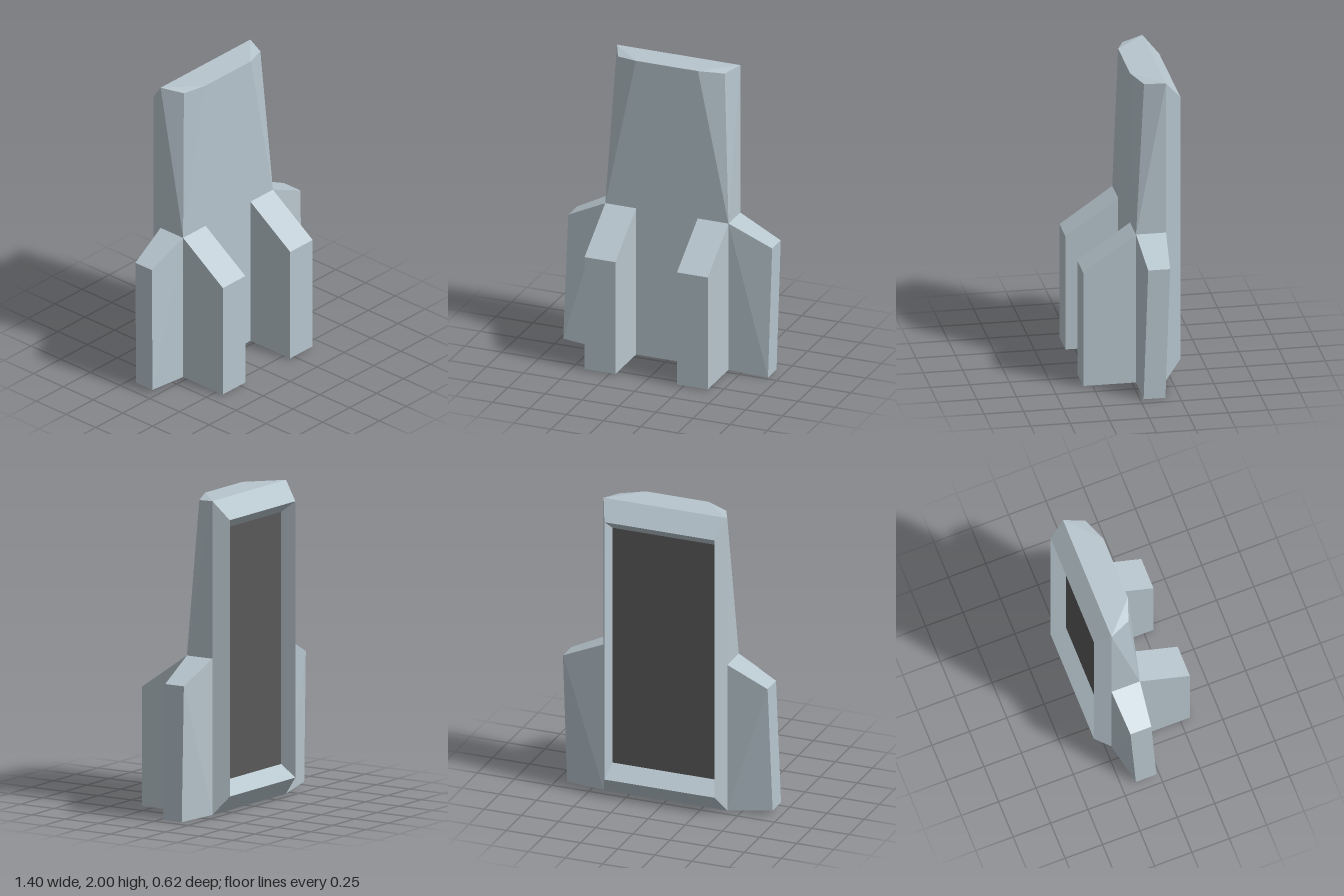
import * as THREE from 'three';
import { ConvexGeometry } from 'three/addons/geometries/ConvexGeometry.js';

const shell = new THREE.MeshStandardMaterial({ color: 0xb7c5cd, flatShading: true });
const dark = new THREE.MeshStandardMaterial({ color: 0x595959, flatShading: true });

const HALF = 0.416, FRONT = -0.022, BACK = -0.212, BASE = 0.008;

// Faceted convex solid from its corner points
function solid(name, corners) {
  const geometry = new ConvexGeometry(corners.map(c => new THREE.Vector3(...c)));
  const mesh = new THREE.Mesh(geometry, shell);
  mesh.name = name;
  return mesh;
}

// Rectangle facing backwards, counterclockwise seen from behind
const loop = (x, low, high, z) => [[x, low, z], [-x, low, z], [-x, high, z], [x, high, z]];

// Faces joining successive rectangles
function bands(name, loops) {
  const pos = [];
  for (let k = 0; k < loops.length - 1; k++) {
    const a = loops[k], b = loops[k + 1];
    for (let i = 0; i < 4; i++) {
      const j = (i + 1) % 4;
      pos.push(...a[i], ...a[j], ...b[j], ...a[i], ...b[j], ...b[i]);
    }
  }
  const geometry = new THREE.BufferGeometry();
  geometry.setAttribute('position', new THREE.Float32BufferAttribute(pos, 3));
  geometry.computeVertexNormals();
  const mesh = new THREE.Mesh(geometry, shell);
  mesh.name = name;
  return mesh;
}

export function createModel() {
  const model = new THREE.Group();
  model.name = 'towerBlock';

  // Upright slab: square below, front corners tapering away above mid height
  model.add(solid('body', [
    ...loop(HALF, BASE, 1, FRONT),
    ...loop(HALF, BASE, 2, BACK),
    [-0.21, 2, FRONT], [0.21, 2, FRONT],
    [-0.352, 1.985, -0.074], [0.366, 1.985, -0.082],
  ]));

  // Bevelled frame on the back around a deep recess with steep sides
  const panelZ = BACK - 0.004, panelX = 0.355, panelLow = 0.207, panelHigh = 1.807;
  model.add(bands('backFrame', [
    loop(HALF, BASE, 2, BACK),
    loop(0.37, 0.128, 1.882, -0.312),
    loop(panelX, panelLow, panelHigh, panelZ),
  ]));

  // Dark panel at the bottom of the recess
  const panel = new THREE.Mesh(new THREE.PlaneGeometry(2 * panelX, panelHigh - panelLow), dark);
  panel.name = 'backPanel';
  panel.rotation.y = Math.PI;
  panel.position.set(0, (panelLow + panelHigh) / 2, panelZ);
  model.add(panel);

  // Two front blocks with sloping tops
  for (const side of [-1, 1]) {
    const corners = [];
    for (const x of [0.208, HALF]) {
      for (const [y, z] of [[BASE, FRONT], [1, FRONT], [0.767, 0.312], [BASE, 0.312]]) {
        corners.push([side * x, y, z]);
      }
    }
    model.add(solid(side > 0 ? 'leftFrontBlock' : 'rightFrontBlock', corners));
  }

  // Side wings, slightly uneven: x and y of the outer top and bottom edges
  const wings = [
    ['leftWing', 1, [0.7, 0.868], [0.683, 0]],
    ['rightWing', -1, [0.677, 0.868], [0.7, 0.033]],
  ];
  for (const [name, side, top, bottom] of wings) {
    model.add(solid(name, [
      [side * HALF, BASE, FRONT], [side * HALF, BASE, BACK],
      [side * HALF, 1, FRONT], [side * HALF, 1, BACK],
      [side * top[0], top[1], -0.048], [side * top[0], top[1], -0.187],
      [side * bottom[0], bottom[1], -0.022], [side * bottom[0], bottom[1], -0.16],
    ]));
  }

  return model;
}
